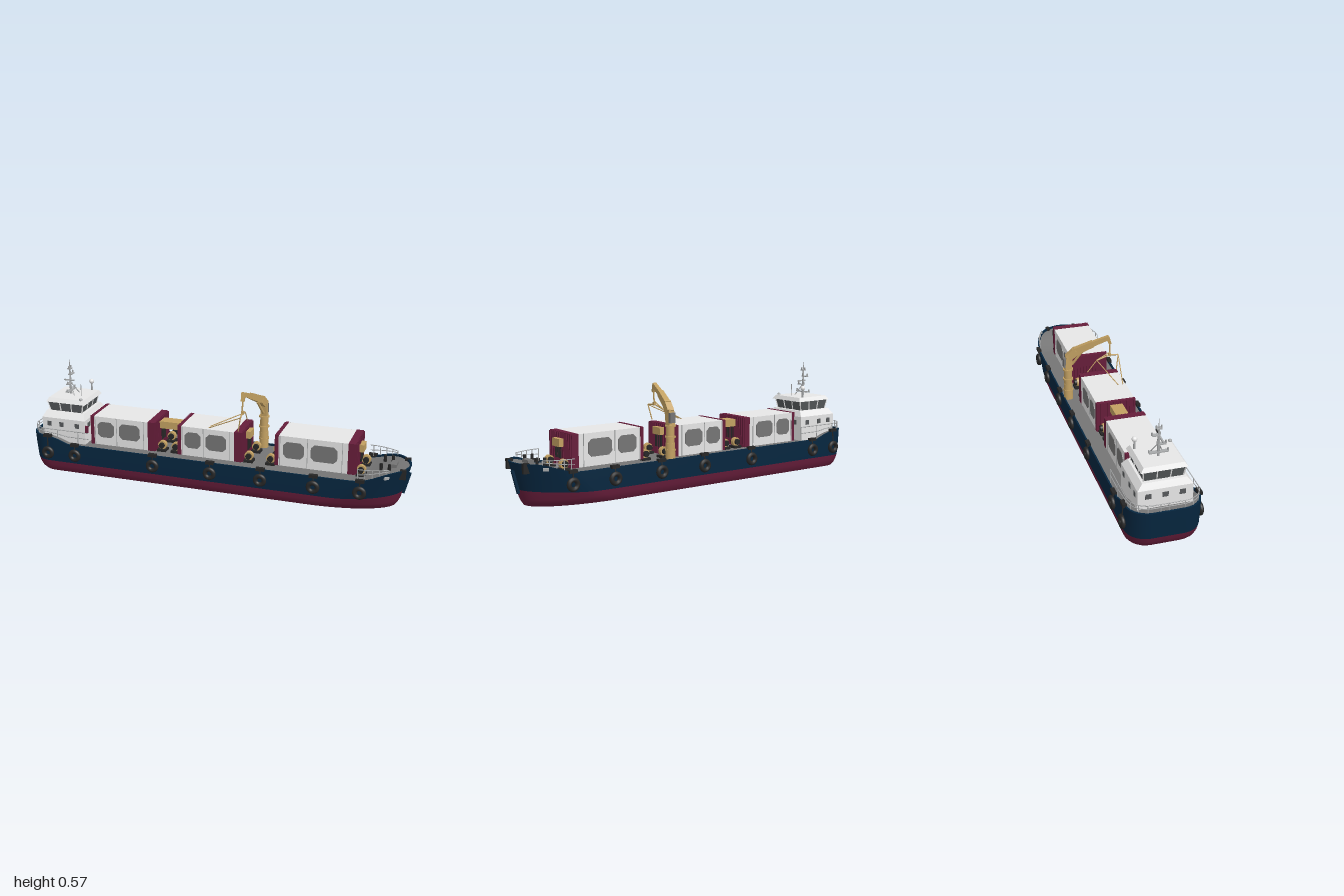
import * as THREE from 'three';

const mat = (name, color, side = THREE.FrontSide) => {
  const m = new THREE.MeshStandardMaterial({ color, side });
  m.name = name;
  return m;
};

export function createModel() {
  const navy = mat('navy hull', 0x06263f, THREE.DoubleSide), maroon = mat('maroon', 0x661d3a, THREE.DoubleSide);
  const grey = mat('deck grey', 0x757575, THREE.DoubleSide), white = mat('white', 0xe6e6e6);
  const tan = mat('crane tan', 0xc2a062), dark = mat('rubber black', 0x262626);
  const glass = mat('window grey', 0x56595b), pale = mat('fitting grey', 0xa8aaab);
  const ship = new THREE.Group();
  ship.name = 'cargoShip';

  // Helpers
  const add = (name, geo, m, x = 0, y = 0, z = 0, parent = ship) => {
    const mesh = new THREE.Mesh(geo, m);
    mesh.name = name;
    mesh.position.set(x, y, z);
    parent.add(mesh);
    return mesh;
  };
  // Box given by its lower and upper corners
  const box = (name, m, x0, x1, y0, y1, z0, z1) =>
    add(name, new THREE.BoxGeometry(x1 - x0, y1 - y0, z1 - z0), m, (x0 + x1) / 2, (y0 + y1) / 2, (z0 + z1) / 2);
  const V = (p) => new THREE.Vector3(...p);
  // Round rod between two points
  const rod = (name, m, a, b, r, r2 = r, seg = 8) => {
    const p = V(a), q = V(b), d = q.clone().sub(p);
    const mesh = add(name, new THREE.CylinderGeometry(r2, r, d.length(), seg), m);
    mesh.position.copy(p.add(q).multiplyScalar(0.5));
    mesh.quaternion.setFromUnitVectors(new THREE.Vector3(0, 1, 0), d.normalize());
    return mesh;
  };
  // Square beam between two points
  const beam = (name, m, a, b, w, h, w2 = w, h2 = h) => {
    const p = V(a), q = V(b), len = p.distanceTo(q);
    const g = new THREE.BoxGeometry(1, 1, len), pos = g.attributes.position;
    for (let i = 0; i < pos.count; i++) {
      const end = pos.getZ(i) > 0;
      pos.setXY(i, pos.getX(i) * (end ? w2 : w), pos.getY(i) * (end ? h2 : h));
    }
    g.computeVertexNormals();
    const mesh = add(name, g, m);
    mesh.position.copy(p).add(q).multiplyScalar(0.5);
    mesh.lookAt(q);
    return mesh;
  };
  // Box whose top has another size
  const taper = (name, m, x, z, y0, y1, lx, lz, tx, tz) => {
    const g = new THREE.BoxGeometry(lx, y1 - y0, lz), p = g.attributes.position;
    for (let i = 0; i < p.count; i++)
      if (p.getY(i) > 0) { p.setX(i, p.getX(i) * tx / lx); p.setZ(i, p.getZ(i) * tz / lz); }
    g.computeVertexNormals();
    return add(name, g, m, x, (y0 + y1) / 2, z);
  };

  // Hull: plan outlines stacked from the keel to the sheer line
  const smooth = THREE.MathUtils.smoothstep;
  const sheer = (x) => 0.163 + 0.037 * (1 - smooth(x, -0.88, -0.78)) + 0.047 * smooth(x, 0.74, 0.95);
  const half = (w, bow, L, stern, r) => {
    const pts = [[stern, 0], [stern, (w - r) / 2]];
    for (let i = 0; i <= 7; i++) {
      const t = i / 7 * Math.PI / 2;
      pts.push([stern + r - r * Math.cos(t), w - r + r * Math.sin(t)]);
    }
    const x0 = stern + r, x1 = bow - L;
    for (let i = 1; i < 28; i++) pts.push([x0 + (x1 - x0) * i / 28, w]);
    for (let i = 0; i <= 20; i++) {
      const t = i / 20 * Math.PI / 2;
      pts.push([x1 + L * Math.sin(t), w * Math.cos(t)]);
    }
    return pts;
  };
  const ring = (h, yOf) => [...h.map(([x, z]) => [x, yOf(x), z]), ...h.slice().reverse().map(([x, z]) => [x, yOf(x), -z])];
  const mesh = (name, pts, idx, m) => {
    const g = new THREE.BufferGeometry();
    g.setAttribute('position', new THREE.Float32BufferAttribute(pts.flat(), 3));
    g.setIndex(idx);
    g.computeVertexNormals();
    return add(name, g, m);
  };
  const loft = (name, rings, m) => {
    const n = rings[0].length, idx = [];
    for (let k = 0; k + 1 < rings.length; k++)
      for (let i = 0; i < n; i++) {
        const a = k * n + i, b = k * n + (i + 1) % n;
        idx.push(a, b, b + n, a, b + n, a + n);
      }
    return mesh(name, rings.flat(), idx, m);
  };
  const cap = (name, pts, m, up) => {
    const n = pts.length, idx = [];
    for (let i = 0; i + 1 < n / 2; i++) {
      const a = i, b = i + 1, c = n - 2 - i, d = n - 1 - i;
      idx.push(...(up ? [a, b, c, a, c, d] : [a, c, b, a, d, c]));
    }
    return mesh(name, pts, idx, m);
  };
  const topLine = half(0.178, 1.0, 0.23, -1.0, 0.1), inner = half(0.17, 0.99, 0.225, -0.99, 0.095);
  const keel = ring(half(0.158, 0.935, 0.42, -0.955, 0.09), () => 0);
  const water = ring(half(0.177, 0.965, 0.32, -0.988, 0.1), (x) => 0.06 + 0.018 * smooth(x, 0.6, 1));
  const topRing = ring(topLine, sheer), rim = ring(inner, sheer);
  const deckRing = ring(inner, (x) => sheer(x) - 0.01);
  cap('bottom', keel, maroon, false);
  loft('lowerHull', [keel, ring(half(0.168, 0.945, 0.39, -0.97, 0.095), () => 0.015),
    ring(half(0.174, 0.955, 0.36, -0.98, 0.1), () => 0.035), water], maroon);
  loft('upperHull', [water, ring(half(0.178, 0.98, 0.28, -0.995, 0.1), (x) => 0.06 + (sheer(x) - 0.06) * 0.5), topRing], navy);
  loft('bulwarkRim', [topRing, rim], navy);
  loft('bulwarkInside', [rim, deckRing], navy);
  cap('deck', deckRing, grey, true);
  beam('stemBar', navy, [0.967, 0.06, 0], [0.995, 0.17, 0], 0.012, 0.014);

  // Tyre fenders and bollards along both sides
  for (const s of [-1, 1]) {
    for (const x of [-0.89, -0.735, -0.295, 0.015, 0.28, 0.55, 0.78]) {
      const z = s * (x > 0.77 ? 0.181 : 0.185);
      add('tyreFender', new THREE.TorusGeometry(0.023, 0.0115, 10, 24), dark, x, 0.108, z);
      rod('fenderChain', dark, [x, 0.13, z], [x, sheer(x), s * 0.179], 0.003);
      box('fenderBracket', dark, x - 0.022, x + 0.022, sheer(x) - 0.006, sheer(x) + 0.01, s * 0.178 - 0.01, s * 0.178 + 0.01);
    }
    box('bowPost', dark, 0.955, 0.985, 0.165, 0.214, s * 0.08 - 0.009, s * 0.08 + 0.009);
    const hawse = box('hawsePlate', pale, -0.004, 0.004, 0.18, 0.193, -0.013, 0.013);
    hawse.position.set(0.902, 0.187, s * 0.146);
    hawse.rotation.y = -s * 0.85;
    for (const x of [0.86, 0.9]) rod('bowBollard', dark, [x, 0.19, s * 0.06], [x, 0.225, s * 0.06], 0.008);
  }
  box('anchorWinch', grey, 0.9, 0.93, 0.19, 0.215, -0.03, 0.03);

  // Railings following the bulwark
  const rail = (pts, topY) => {
    for (const h of [0.55, 1])
      for (let i = 0; i + 1 < pts.length; i++) {
        const at = ([x, y, z]) => [x, y + (topY - y) * h, z];
        rod('railBar', pale, at(pts[i]), at(pts[i + 1]), 0.0022, 0.0022, 6);
      }
    pts.forEach(([x, y, z], i) => { if (i % 2 === 0) rod('railPost', pale, [x, y, z], [x, topY, z], 0.0024, 0.0024, 6); });
  };
  const n = rim.length;
  rail([...rim.slice(n - 14), ...rim.slice(0, 14)], 0.237);
  for (const s of [-1, 1]) rail(rim.filter(([x, , z]) => x > 0.74 && x < 0.92 && z * s > 0), 0.225);

  // Cargo containers with corrugated ends and panelled sides
  const panelGeo = (w, h) => {
    const c = 0.018, a = w / 2, b = h / 2;
    const s = new THREE.Shape([[-a + c, -b], [a - c, -b], [a, -b + c], [a, b - c], [a - c, b], [-a + c, b], [-a, b - c], [-a, -b + c]]
      .map((p) => new THREE.Vector2(...p)));
    return new THREE.ExtrudeGeometry(s, { depth: 0.003, bevelEnabled: false });
  };
  for (const [x0, x1, y0, y1, tanLen] of [[-0.67, -0.31, 0.155, 0.31, 0.125], [-0.182, 0.16, 0.155, 0.312, 0.025], [0.335, 0.742, 0.165, 0.324, 0.025]]) {
    const r = x1 - 0.04, l = x0 + 0.016, len = r - l;
    box('containerBody', white, l, r, y0, y1, -0.1, 0.1);
    box('containerEnd', maroon, x0, l, y0, y1 + 0.002, -0.102, 0.102);
    box('containerEnd', maroon, r, x1 - 0.004, y0, y1 + 0.002, -0.102, 0.102);
    for (let i = 0; i < 12; i++) {
      const z = -0.093 + i * 0.0169;
      box('endRib', maroon, x1 - 0.004, x1 + 0.003, y0, y1, z - 0.004, z + 0.004);
      box('endRib', maroon, x0 - 0.005, x0, y0, y1, z - 0.004, z + 0.004);
    }
    box('powerBox', tan, x1, x1 + tanLen, 0.26, 0.298, -0.032, 0.032);
    for (let i = 0; i < 5; i++)
      rod('supplyHose', dark, [x1 + 0.01, y0 + 0.04, -0.024 + i * 0.012], [x1 + 0.01, 0.26, -0.024 + i * 0.012], 0.003);
    for (const s of [-1, 1]) {
      for (const [f, w] of [[0.22, 0.3], [0.66, 0.38]]) {
        const p = add('sidePanel', panelGeo(w * len, 0.085), grey, l + f * len, (y0 + y1) / 2 + 0.008, s * 0.1);
        if (s < 0) p.rotation.y = Math.PI;
      }
      for (const f of [0.02, 0.42, 0.92])
        box('sideSeam', pale, l + f * len - 0.0015, l + f * len + 0.0015, y0, y1, s * 0.1 - 0.002, s * 0.1 + 0.002);
    }
  }

  // Mooring winches between the containers
  for (const x of [-0.28, -0.205, 0.19, 0.305, 0.765])
    for (const z of [-0.068, 0.068]) {
      const y = sheer(x) - 0.01;
      box('winchBase', dark, x - 0.024, x + 0.024, y, y + 0.012, z - 0.024, z + 0.024);
      for (const [name, m, r, l] of [['winchDrum', dark, 0.015, 0.044], ['winchFlange', tan, 0.023, 0.02]])
        add(name, new THREE.CylinderGeometry(r, r, l, 16), m, x, y + 0.032, z).rotation.x = Math.PI / 2;
    }

  // Deck crane
  rod('craneBase', tan, [0.205, 0.15, -0.149], [0.205, 0.24, -0.149], 0.025, 0.023, 20);
  rod('cranePedestal', tan, [0.205, 0.24, -0.149], [0.205, 0.32, -0.149], 0.021, 0.021, 20);
  for (const y of [0.2, 0.265, 0.32]) rod('craneFlange', tan, [0.205, y, -0.149], [0.205, y + 0.008, -0.149], 0.027, 0.027, 20);
  beam('craneColumn', tan, [0.205, 0.32, -0.15], [0.205, 0.405, -0.142], 0.034, 0.036, 0.032, 0.034);
  box('craneControlBox', grey, 0.19, 0.222, 0.34, 0.39, -0.173, -0.158);
  beam('craneElbow', tan, [0.206, 0.39, -0.148], [0.196, 0.432, -0.105], 0.034, 0.038, 0.032, 0.04);
  beam('craneBoom', tan, [0.2, 0.423, -0.118], [0.172, 0.472, -0.02], 0.03, 0.04, 0.026, 0.032);
  beam('craneJib', tan, [0.174, 0.468, -0.028], [0.153, 0.505, 0.06], 0.022, 0.026, 0.02, 0.022);
  beam('craneTip', tan, [0.153, 0.51, 0.052], [0.152, 0.468, 0.067], 0.02, 0.02, 0.016, 0.014);
  rod('craneCylinder', tan, [0.206, 0.35, -0.125], [0.188, 0.425, -0.075], 0.007);
  rod('craneHoist', tan, [0.152, 0.468, 0.066], [0.15, 0.405, 0.064], 0.004);
  box('craneHook', tan, 0.144, 0.156, 0.398, 0.416, 0.058, 0.07);

  // Lifting sling
  const hook = [0.15, 0.405, 0.064], e1 = [0.155, 0.398, 0.112], e2 = [0.145, 0.385, -0.008];
  for (const [a, b, r] of [[hook, e1, 0.004], [hook, e2, 0.004], [[0.15, 0.42, 0.064], e2, 0.003],
    [e1, [0.14, 0.32, 0.098], 0.003], [e1, [-0.02, 0.315, 0.085], 0.0025],
    [e2, [0.14, 0.325, -0.06], 0.0025], [e2, [-0.02, 0.315, 0.06], 0.0025]]) rod('slingRod', tan, a, b, r);

  // Deckhouse and wheelhouse
  box('deckhouse', white, -0.94, -0.695, 0.155, 0.285, -0.13, 0.13);
  taper('deckhouseShoulder', white, -0.8175, 0, 0.285, 0.315, 0.245, 0.26, 0.215, 0.21);
  taper('wheelhouseWindows', glass, -0.817, 0, 0.315, 0.367, 0.18, 0.185, 0.205, 0.2);
  for (const s of [-1, 1]) {
    for (let i = 0; i < 4; i++) {
      const f = -1 + i * 2 / 3;
      beam('windowPost', white, [-0.817 + f * 0.09, 0.315, s * 0.093], [-0.817 + f * 0.1025, 0.367, s * 0.1005], 0.005, 0.005);
      beam('windowPost', white, [-0.817 + s * 0.0905, 0.315, f * 0.092], [-0.817 + s * 0.103, 0.367, f * 0.1], 0.005, 0.005);
    }
    for (const x of [-0.9, -0.83, -0.74]) box('cabinWindow', glass, x - 0.012, x + 0.012, 0.24, 0.265, s * 0.13 - 0.002, s * 0.13 + 0.002);
    for (const z of [-0.08, 0, 0.08]) box('cabinWindow', glass, -0.8175 + s * 0.1225 - 0.002, -0.8175 + s * 0.1225 + 0.002, 0.24, 0.265, z - 0.014, z + 0.014);
  }
  taper('wheelhouseRoof', white, -0.812, 0, 0.365, 0.386, 0.222, 0.22, 0.2, 0.19);
  box('lifebuoyRack', maroon, -0.69, -0.675, 0.225, 0.262, 0.128, 0.138);

  // Mast, antennas and radar dome
  const mx = -0.83;
  rod('mast', pale, [mx, 0.38, 0], [mx, 0.53, 0], 0.007, 0.004);
  rod('mastTip', pale, [mx, 0.53, 0], [mx, 0.574, 0], 0.003, 0.001);
  for (const [y, z0, z1] of [[0.405, -0.045, 0.045], [0.445, -0.005, 0.034], [0.492, -0.032, 0.005], [0.525, -0.012, 0.012]]) {
    box('mastArm', pale, mx - 0.01, mx + 0.01, y - 0.002, y + 0.003, z0, z1);
    for (const z of [z0, z1]) rod('mastLamp', pale, [mx, y, z], [mx, y + 0.015, z], 0.004);
  }
  box('radarBar', pale, mx - 0.028, mx + 0.028, 0.462, 0.468, 0.01, 0.018);
  for (const s of [-1, 1]) rod('mastStay', pale, [mx + 0.035, 0.385, s * 0.03], [mx, 0.45, 0], 0.0025);
  rod('domePost', pale, [-0.747, 0.38, -0.085], [-0.747, 0.43, -0.085], 0.005);
  add('radarDome', new THREE.SphereGeometry(0.013, 16, 12), white, -0.747, 0.436, -0.085);
  rod('whipAntenna', pale, [-0.76, 0.385, 0.02], [-0.76, 0.45, 0.02], 0.002);
  add('searchlight', new THREE.SphereGeometry(0.009, 12, 8), pale, -0.73, 0.388, 0.09);
  return ship;
}
